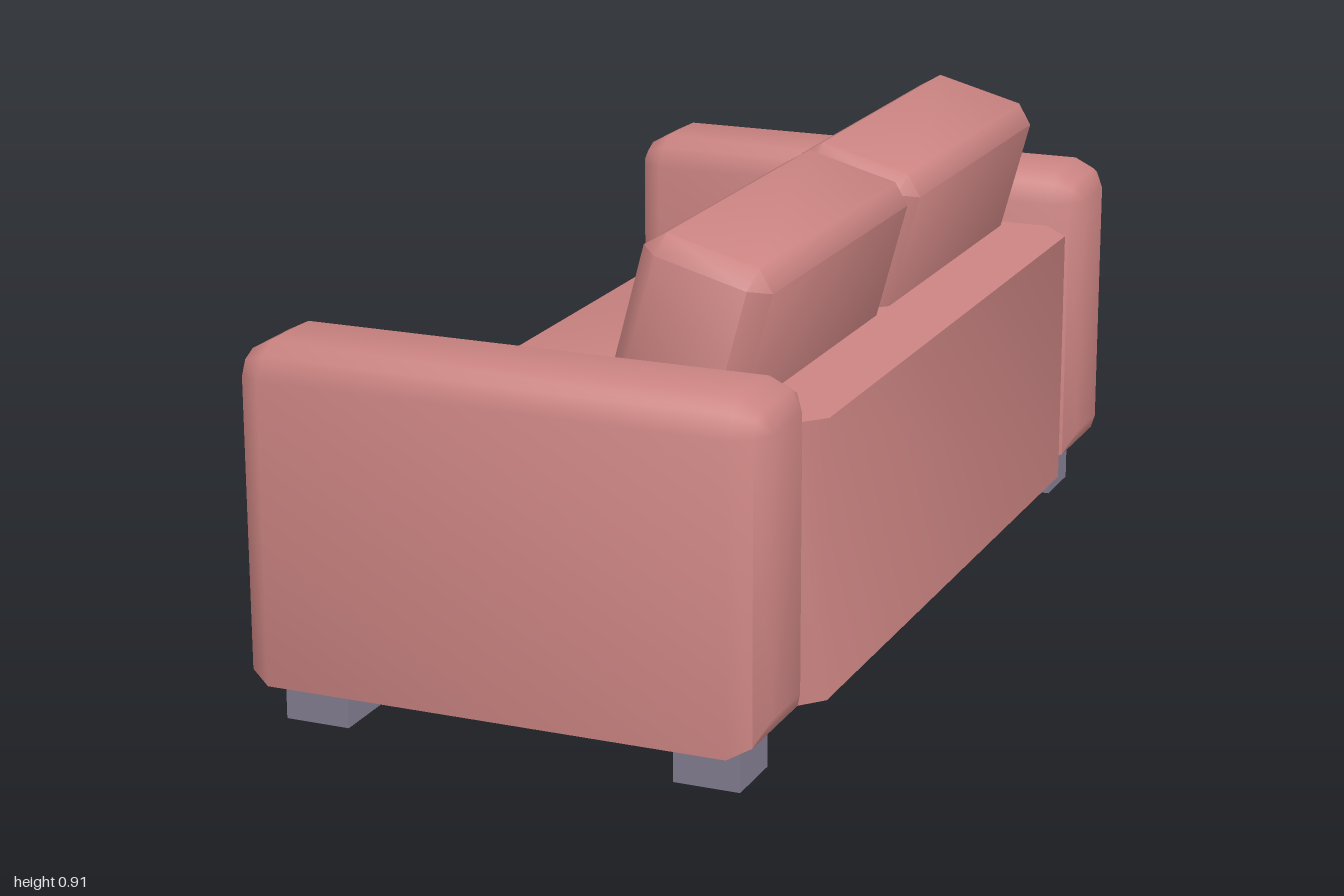
import * as THREE from 'three';
import { mergeVertices, toCreasedNormals } from 'three/addons/utils/BufferGeometryUtils.js';

const CREASE = 0.95;

// Box with rounded edges, lofted along x. steps: [distance from the end, inset] pairs.
function softBox(w, h, d, steps, squareBottom = false) {
  const r = steps[steps.length - 1][0];
  const section = (inset) => {
    const hz = d / 2 - inset, hy = h / 2 - inset, k = (r - inset) / r;
    const ring = [];
    [[1, 1], [-1, 1], [-1, -1], [1, -1]].forEach(([sz, sy], corner) => {
      const pts = steps.map(([a, b]) => squareBottom && sy < 0
        ? [sz * hz, sy * hy]
        : [sz * (hz - a * k), sy * (hy - b * k)]);
      if (corner % 2 === 0) pts.reverse();
      ring.push(...pts.reverse());
    });
    // order by angle so the ring always runs one way round
    return ring;
  };
  const stations = [
    ...steps.map(([a, inset]) => [-w / 2 + a, inset]),
    ...[...steps].reverse().map(([a, inset]) => [w / 2 - a, inset]),
  ];
  const pos = [], idx = [], n = steps.length * 4;
  // corners alternate direction so that the ring is continuous
  for (const [x, inset] of stations) for (const [z, y] of section(inset)) pos.push(x, y, z);
  for (let s = 0; s < stations.length - 1; s++) {
    for (let i = 0; i < n; i++) {
      const a = s * n + i, b = s * n + (i + 1) % n;
      idx.push(a, a + n, b, b, a + n, b + n);
    }
  }
  // end caps
  const c0 = pos.length / 3, last = (stations.length - 1) * n;
  pos.push(-w / 2, 0, 0, w / 2, 0, 0);
  for (let i = 0; i < n; i++) {
    const j = (i + 1) % n;
    idx.push(c0, i, j, c0 + 1, last + j, last + i);
  }
  let geo = new THREE.BufferGeometry();
  geo.setAttribute('position', new THREE.Float32BufferAttribute(pos, 3));
  geo.setIndex(idx);
  geo = mergeVertices(geo, 1e-5);
  // drop collapsed faces
  const kept = [], ix = geo.index.array;
  for (let i = 0; i < ix.length; i += 3) {
    const [a, b, c] = [ix[i], ix[i + 1], ix[i + 2]];
    if (a !== b && b !== c && c !== a) kept.push(a, b, c);
  }
  geo.setIndex(kept);
  return toCreasedNormals(geo, CREASE);
}

export function createModel() {
  const fabric = new THREE.MeshStandardMaterial({ name: 'rose fabric', color: 0xcb8482 });
  const grey = new THREE.MeshStandardMaterial({ name: 'grey leg', color: 0x827d90 });
  const sofa = new THREE.Group();
  sofa.name = 'sofa';

  const add = (name, geo, mat, x, y, z) => {
    const mesh = new THREE.Mesh(geo, mat);
    mesh.name = name;
    mesh.position.set(x, y, z);
    sofa.add(mesh);
    return mesh;
  };

  const armGeo = softBox(1, 0.625, 0.25, [[0, 0.06], [0.02, 0.02], [0.06, 0]], true);
  const chamfer = [[0, 0.035], [0.035, 0]];
  const seatGeo = softBox(0.8, 0.23, 0.75, chamfer);
  const backGeo = softBox(0.248, 0.53, 0.75, chamfer);
  const legGeo = new THREE.BoxGeometry(0.125, 0.1, 0.125);

  for (const side of [-1, 1]) {
    add('armrest', armGeo, fabric, 0, 0.3975, side * 0.875);
    add('seatCushion', seatGeo, fabric, -0.1, 0.305, side * 0.375);
    // back cushion leaning away from the seat
    const tilt = THREE.MathUtils.degToRad(15);
    const cushion = add('backCushion', backGeo, fabric,
      0.2975 - Math.sin(tilt) * 0.265, 0.89 - Math.cos(tilt) * 0.265, side * 0.375);
    cushion.rotation.z = -tilt;
    for (const end of [-1, 1]) add('leg', legGeo, grey, end * 0.3775, 0.05, side * 0.873);
  }

  // plinth under the seat
  add('seatBase', new THREE.BoxGeometry(0.76, 0.14, 1.5), fabric, -0.08, 0.155, 0);

  // back wall with chamfered rear corners
  const plan = new THREE.Shape([
    [0.28, -0.75], [0.44, -0.75], [0.5, -0.68], [0.5, 0.68], [0.44, 0.75], [0.28, 0.75],
  ].map(([x, z]) => new THREE.Vector2(x, z)));
  const wall = new THREE.ExtrudeGeometry(plan, { depth: 0.52, bevelEnabled: false });
  wall.rotateX(-Math.PI / 2);
  add('backFrame', toCreasedNormals(wall, CREASE), fabric, 0, 0.085, 0);

  return sofa;
}
